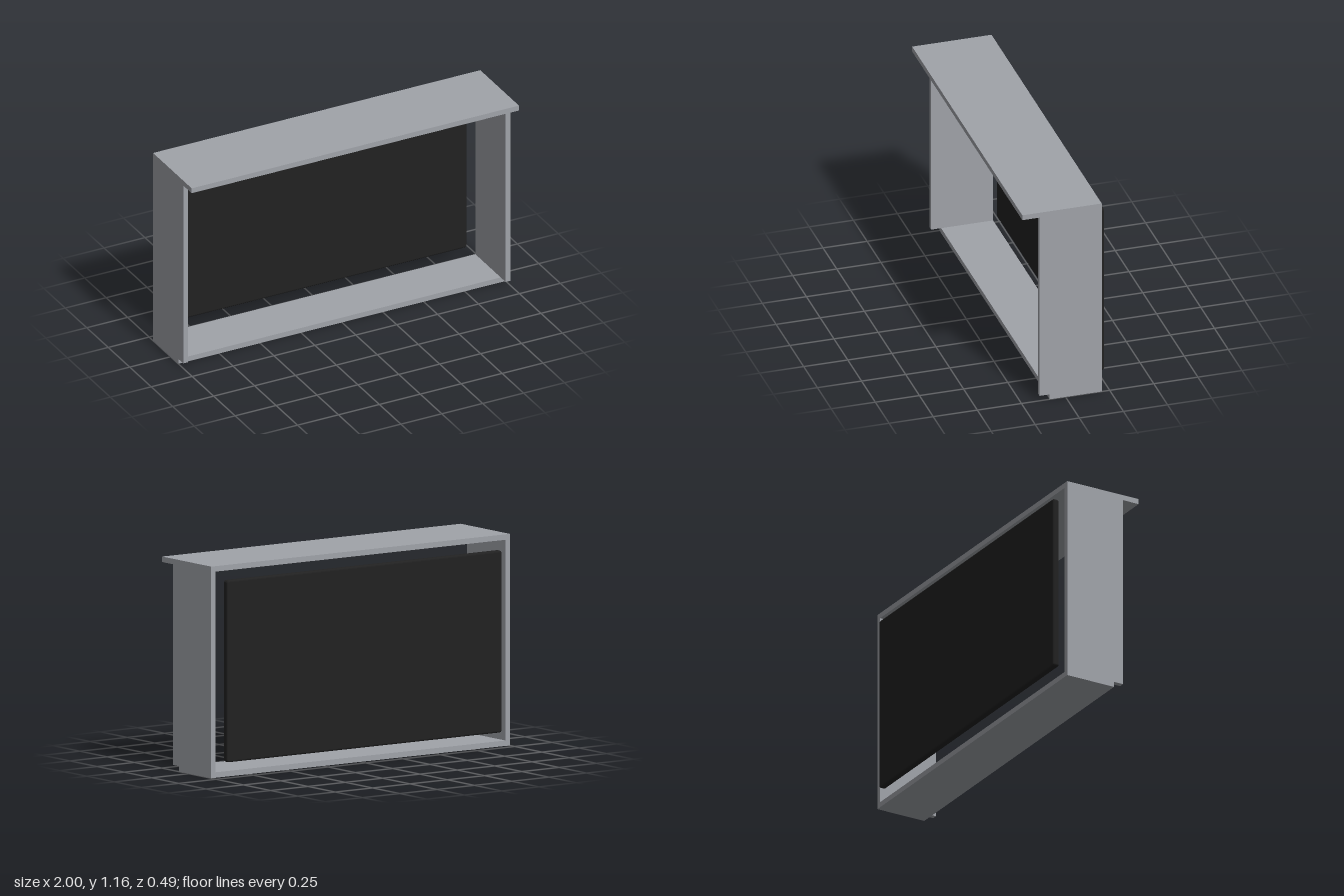
import * as THREE from 'three';

const frameGrey = new THREE.MeshStandardMaterial({ color: 0xa0a3a9 });
frameGrey.name = 'frameGrey';
const panelBlack = new THREE.MeshStandardMaterial({ color: 0x212121 });
panelBlack.name = 'panelBlack';

// Box given by its minimum and maximum corners
function slab(name, material, [x0, y0, z0], [x1, y1, z1]) {
  const mesh = new THREE.Mesh(new THREE.BoxGeometry(x1 - x0, y1 - y0, z1 - z0), material);
  mesh.position.set((x0 + x1) / 2, (y0 + y1) / 2, (z0 + z1) / 2);
  mesh.name = name;
  return mesh;
}

// Rectangle outline with small rounded corners
function roundedRect(w, h, r) {
  const s = new THREE.Shape();
  s.absarc(w / 2 - r, h / 2 - r, r, 0, Math.PI / 2);
  s.absarc(-w / 2 + r, h / 2 - r, r, Math.PI / 2, Math.PI);
  s.absarc(-w / 2 + r, -h / 2 + r, r, Math.PI, Math.PI * 1.5);
  s.absarc(w / 2 - r, -h / 2 + r, r, Math.PI * 1.5, Math.PI * 2);
  return s;
}

export function createModel() {
  const model = new THREE.Group();
  model.name = 'framedScreen';

  // Open box frame: overhanging top, two sides, shorter base
  const back = -0.205, wall = 0.03, top = 1.158;
  model.add(slab('topBoard', frameGrey, [-1, top - wall, back], [1, top, 0.245]));
  model.add(slab('bottomBoard', frameGrey, [-1, 0, back], [1, wall, 0.09]));
  model.add(slab('leftBoard', frameGrey, [1 - wall, wall, back], [1, top - wall, 0.147]));
  model.add(slab('rightBoard', frameGrey, [-1, wall, back], [-1 + wall, top - wall, 0.147]));

  // Screen panel with softened edges, just behind the frame
  const bevel = 0.01, depth = 0.038;
  const body = new THREE.ExtrudeGeometry(roundedRect(1.84 - 2 * bevel, 0.996 - 2 * bevel, 0.004), {
    depth: depth - 2 * bevel, bevelEnabled: true, bevelSize: bevel,
    bevelThickness: bevel, bevelSegments: 3, curveSegments: 3,
  });
  const panel = new THREE.Mesh(body, panelBlack);
  panel.name = 'screenPanel';
  panel.position.set(0, 0.581, -0.245 + bevel);
  model.add(panel);

  // Inset display area on the front of the panel
  model.add(slab('displayArea', panelBlack, [-0.865, 0.138, -0.21], [0.865, 1.026, -0.206]));

  return model;
}
